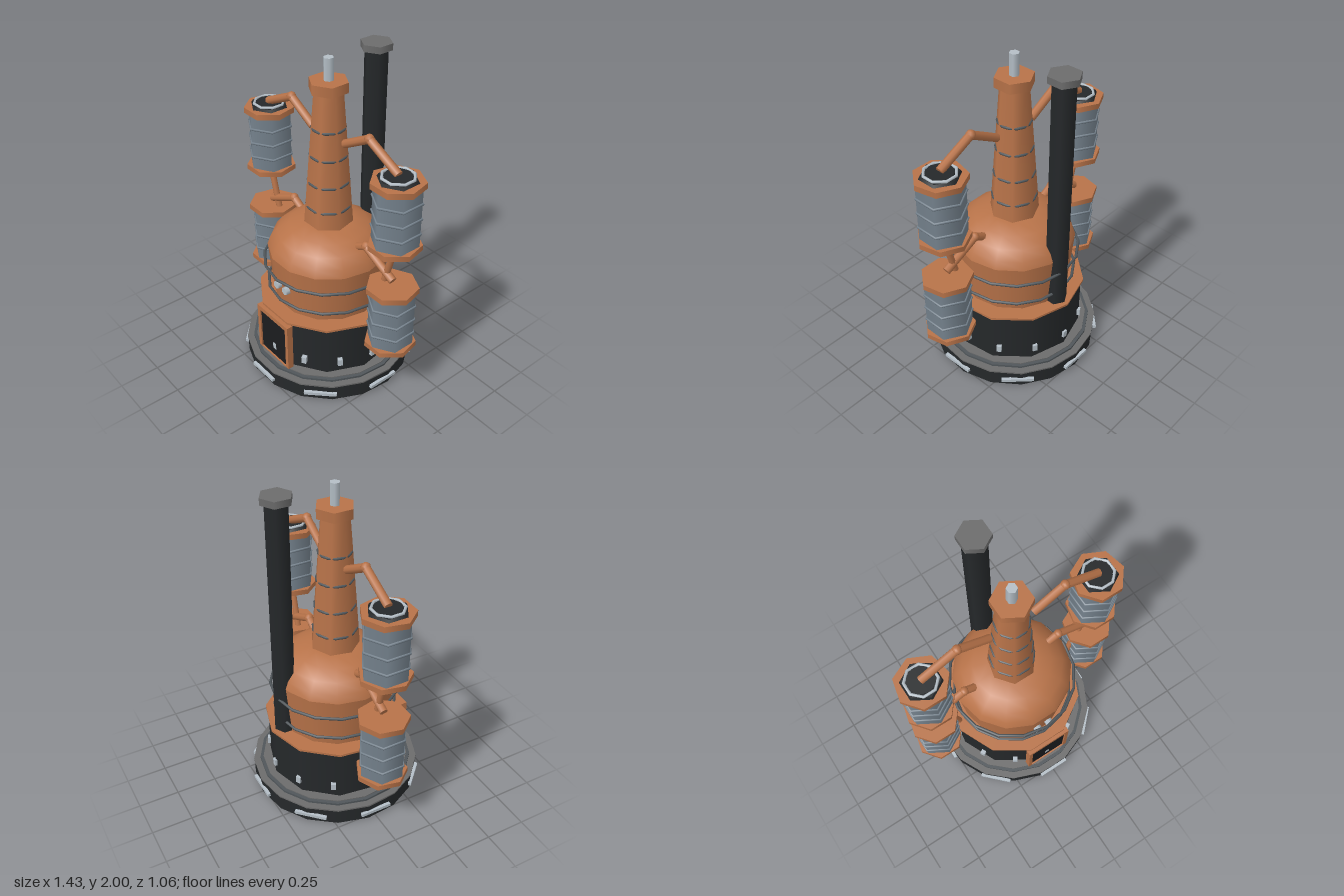
import * as THREE from 'three';

const mat = (color) => new THREE.MeshStandardMaterial({ color });

export function createModel() {
  const model = new THREE.Group();
  const copper = mat(0xb87349), dark = mat(0x25282a), black = mat(0x1b1c1f);
  const grey = mat(0x6c6c6c), ringGrey = mat(0x50565a), steel = mat(0x75828d), light = mat(0xb4bec6);

  const add = (name, geometry, material, x = 0, y = 0, z = 0) => {
    const mesh = new THREE.Mesh(geometry, material);
    mesh.name = name;
    mesh.position.set(x, y, z);
    model.add(mesh);
    return mesh;
  };
  // Prism between two heights; odd-sided ones have a flat side at the front
  const prism = (name, material, sides, r0, r1, y0, y1, x = 0, z = 0) =>
    add(name, new THREE.CylinderGeometry(r1, r0, y1 - y0, sides, 1, false, sides % 2 ? Math.PI : 0),
      material, x, (y0 + y1) / 2, z);
  const hoop = (name, material, r, tube, sides, x, y, turn = 0) => {
    const geometry = new THREE.TorusGeometry(r, tube, 6, sides);
    geometry.rotateX(Math.PI / 2).rotateY(turn);
    return add(name, geometry, material, x, y);
  };
  // Straight pipe in the plane z = 0
  const pipe = (name, r, x0, y0, x1, y1) => {
    const dir = new THREE.Vector3(x1 - x0, y1 - y0, 0);
    const mesh = add(name, new THREE.CylinderGeometry(r, r, dir.length(), 8), copper,
      (x0 + x1) / 2, (y0 + y1) / 2);
    mesh.quaternion.setFromUnitVectors(new THREE.Vector3(0, 1, 0), dir.normalize());
  };
  // Boxes spaced evenly around the axis
  const boxRing = (name, count, r, y, w, h, d) => {
    for (let i = 0; i < count; i++) {
      const a = (i / count) * Math.PI * 2;
      add(name, new THREE.BoxGeometry(w, h, d), light, Math.sin(a) * r, y, Math.cos(a) * r).rotation.y = a;
    }
  };

  // Stepped base
  prism('base', dark, 17, 0.522, 0.522, 0, 0.1);
  prism('baseRim', grey, 17, 0.527, 0.527, 0.1, 0.11);
  prism('baseStep', ringGrey, 17, 0.485, 0.485, 0.11, 0.124);
  prism('baseTop', grey, 17, 0.465, 0.465, 0.124, 0.13);
  boxRing('basePlate', 8, 0.522, 0.05, 0.2, 0.02, 0.02);

  // Furnace with vents and door
  prism('furnace', dark, 11, 0.422, 0.422, 0.12, 0.462);
  prism('furnaceRim', copper, 11, 0.438, 0.438, 0.46, 0.474);
  boxRing('furnaceVent', 12, 0.418, 0.21, 0.03, 0.045, 0.03);
  const frame = new THREE.Shape([[-0.15, 0.13], [0.15, 0.13], [0.15, 0.455], [-0.15, 0.455]]
    .map(([x, y]) => new THREE.Vector2(x, y)));
  frame.holes.push(new THREE.Path([[-0.125, 0.135], [-0.125, 0.425], [0.125, 0.425], [0.125, 0.135]]
    .map(([x, y]) => new THREE.Vector2(x, y))));
  add('doorFrame', new THREE.ExtrudeGeometry(frame, { depth: 0.04, bevelEnabled: false }), copper, 0, 0, 0.402);
  add('doorPanel', new THREE.BoxGeometry(0.26, 0.3, 0.03), black, 0, 0.28, 0.417);

  // Pot: flaring wall, then a shallow dome
  prism('potWall', copper, 14, 0.338, 0.37, 0.47, 0.8).rotation.y = Math.PI / 2;
  const dome = [[0.37, 0.8], [0.352, 0.85], [0.31, 0.905], [0.24, 0.952], [0.15, 0.982], [0.001, 0.99]];
  add('potDome', new THREE.LatheGeometry(dome.map(([r, y]) => new THREE.Vector2(r, y)), 14), copper)
    .rotation.y = Math.PI / 2;
  hoop('potHoop', ringGrey, 0.395, 0.009, 16, 0, 0.71);
  hoop('potHoop', ringGrey, 0.375, 0.009, 16, 0, 0.55);
  for (const x of [-0.04, 0.04]) {
    const gauge = new THREE.CylinderGeometry(0.026, 0.026, 0.04, 6);
    add('gauge', gauge.rotateX(Math.PI / 2), light, x, 0.635, 0.353);
  }

  // Tapering neck, bands, cap and spout
  prism('neck', copper, 7, 0.15, 0.084, 0.96, 1.82);
  for (const y of [1.09, 1.25, 1.42, 1.59]) {
    const r = 0.15 - 0.066 * (y - 0.96) / 0.86;
    hoop('neckBand', ringGrey, r * 0.93, 0.008, 14, 0, y);
  }
  prism('neckCap', copper, 6, 0.115, 0.115, 1.81, 1.87);
  prism('spout', light, 6, 0.03, 0.03, 1.86, 2.0);

  // Chimney at the back
  prism('chimney', dark, 6, 0.07, 0.07, 0.46, 1.97, 0, -0.343);
  prism('chimneyCap', grey, 6, 0.094, 0.094, 1.96, 2.0, 0, -0.343);

  // Two condenser tanks and their pipework on each side
  for (const s of [-1, 1]) {
    const cx = s * 0.563;
    for (const y of [0.395, 1.085]) {
      prism('tankBottomFlange', copper, 7, 0.154, 0.154, y, y + 0.033, cx);
      prism('tankBody', steel, 6, 0.1375, 0.1375, y + 0.02, y + 0.4, cx);
      prism('tankTopFlange', copper, 7, 0.154, 0.154, y + 0.39, y + 0.425, cx);
      for (const dy of [0.115, 0.21, 0.305])
        hoop('tankBand', steel, 0.139, 0.008, 6, cx, y + dy, Math.PI / 6);

      // Bent feed pipe above each tank
      const top = y + 0.565;
      pipe('feedPipe', 0.025, s * 0.14, top - 0.11, s * 0.335, top);
      pipe('feedPipe', 0.025, s * 0.335, top, s * 0.565, top - 0.112);
      add('feedElbow', new THREE.SphereGeometry(0.029, 8, 6), copper, s * 0.335, top);
    }
    // Lid on the upper tank
    prism('tankLid', dark, 6, 0.12, 0.108, 1.505, 1.526, cx);
    hoop('tankLidRing', light, 0.092, 0.009, 8, cx, 1.53, Math.PI / 8);
    prism('tankLidCentre', dark, 8, 0.082, 0.082, 1.52, 1.533, cx);

    pipe('tankLinkPipe', 0.02, s * 0.567, 1.075, s * 0.39, 0.42);
    pipe('drainPipe', 0.02, s * 0.565, 0.387, s * 0.38, 0.335);
  }
  return model;
}
